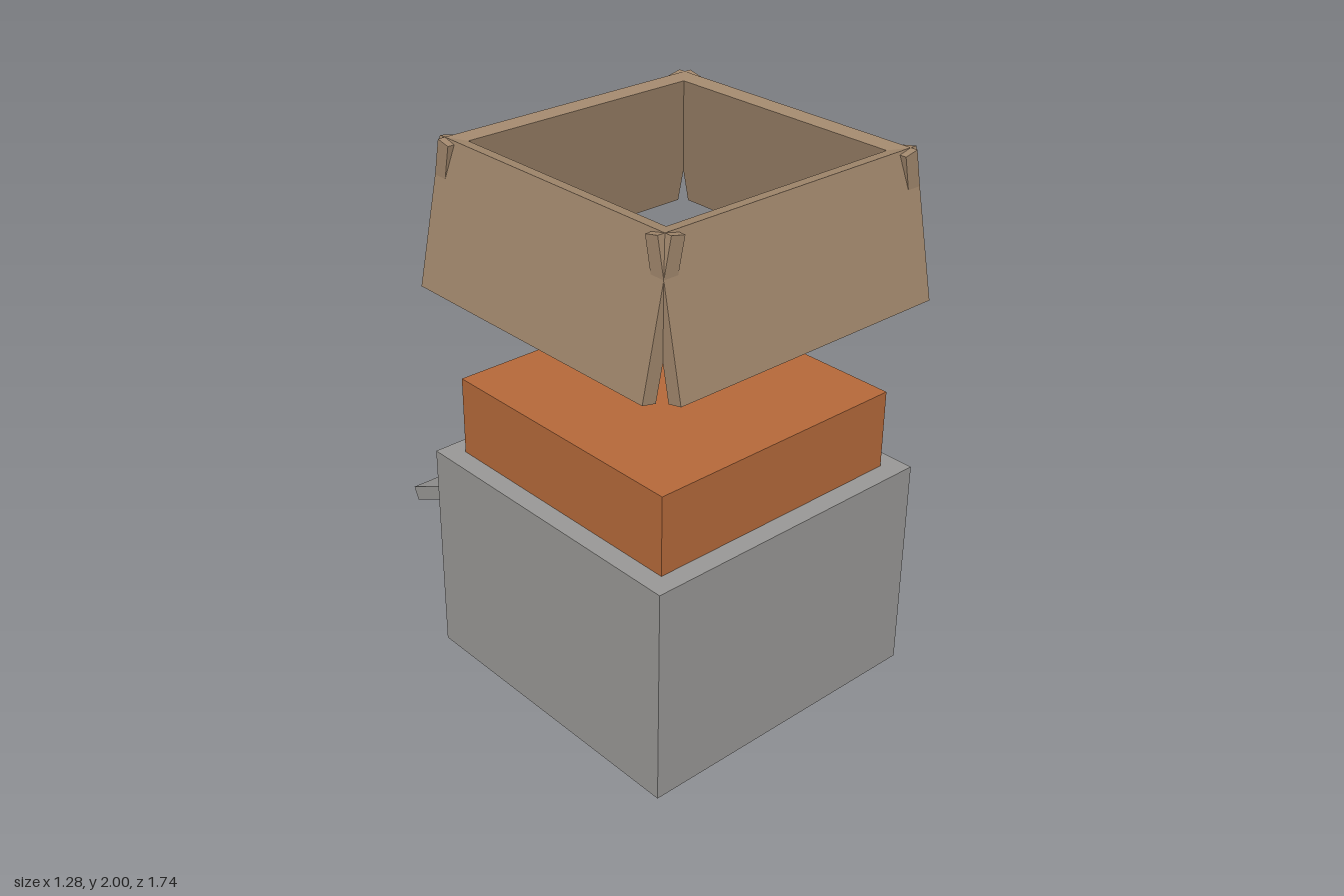
import * as THREE from 'three';

const rad = THREE.MathUtils.degToRad;

function material(name, color) {
  const m = new THREE.MeshStandardMaterial({ color });
  m.name = name;
  return m;
}

function box(name, mat, w, h, d, x, y, z) {
  const mesh = new THREE.Mesh(new THREE.BoxGeometry(w, h, d), mat);
  mesh.name = name;
  mesh.position.set(x, y, z);
  return mesh;
}

export function createModel() {
  const grey = material('stone grey', 0x999896);
  const orange = material('burnt orange', 0xb5693a);
  const tan = material('tan', 0xa2886d);

  const model = new THREE.Group();
  model.name = 'model';
  const cz = 0.23; // centre of the main stack

  // Square base with a smaller block on top
  model.add(box('base', grey, 1.19, 0.82, 1.19, 0, 0.41, cz));
  model.add(box('upperBlock', orange, 1.04, 0.305, 1.04, 0, 0.9625, cz));

  // Sloping ledge that leaves the back of the base
  const ledge = box('backLedge', grey, 0.745, 0.055, 0.6, 0, 0.451, -0.585);
  ledge.rotation.x = rad(-25);
  model.add(ledge);

  // Floating collar: four panels leaning inward, crossing at the top corners
  const collar = new THREE.Group();
  collar.name = 'collar';
  collar.position.set(0, 1.74, cz);
  ['front', 'left', 'back', 'right'].forEach((side, i) => {
    const pivot = new THREE.Group();
    pivot.name = side + 'Side';
    pivot.rotation.y = i * Math.PI / 2;
    const panel = box(side + 'Panel', tan, 1.115, 0.519, 0.055, 0, 0, 0.557);
    panel.rotation.x = rad(-12);
    pivot.add(panel);
    collar.add(pivot);
  });
  model.add(collar);

  return model;
}
